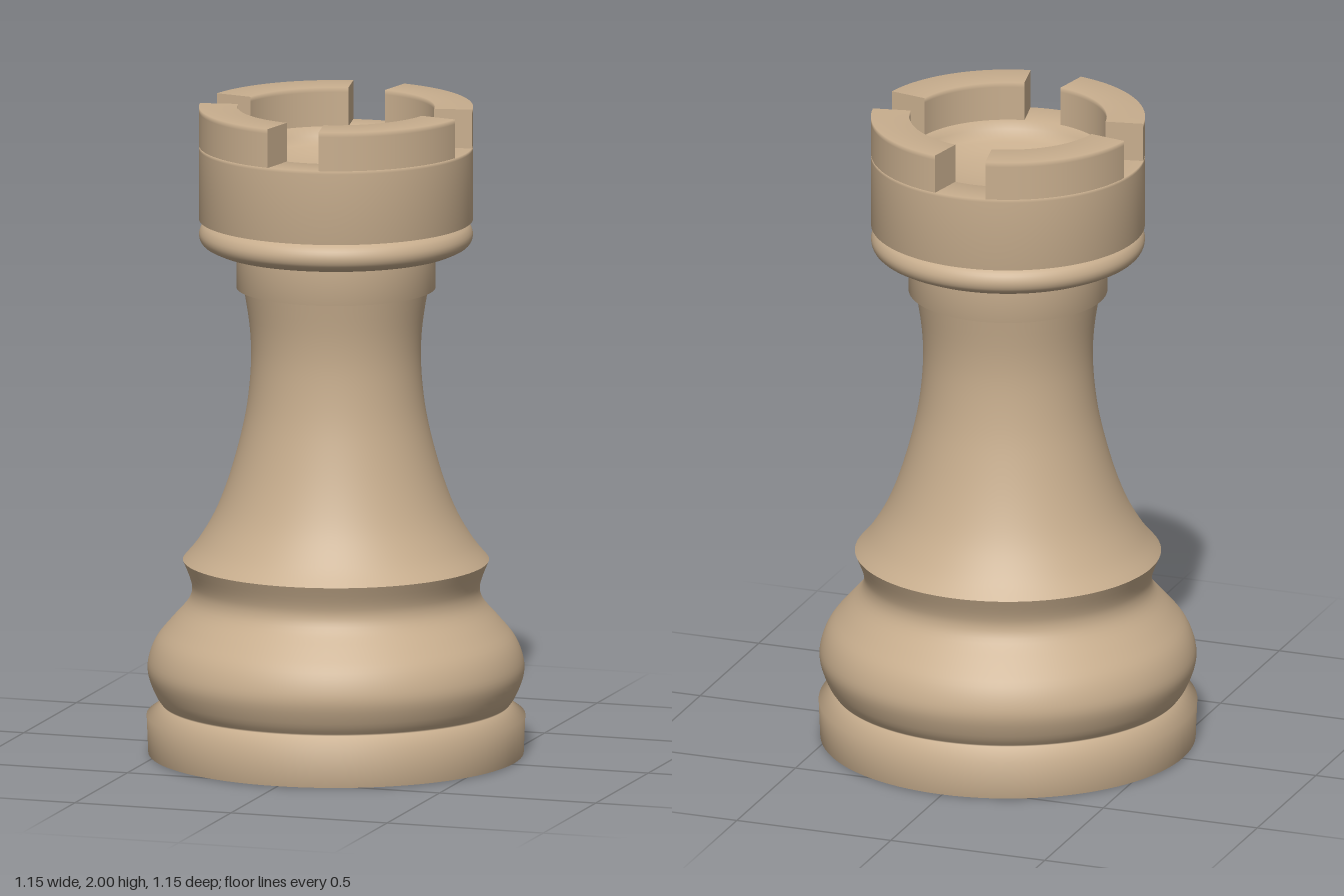
import * as THREE from 'three';

const SEGMENTS = 96;
const material = new THREE.MeshStandardMaterial({ color: 0xc8ae8e, side: THREE.DoubleSide });

const points = (pairs) => pairs.map(([r, y]) => new THREE.Vector2(r, y));

// Smooth run of profile points through a few guides
const curve = (pairs, n) => new THREE.SplineCurve(points(pairs)).getPoints(n);

function addLathe(parent, name, profile, start = 0, length = Math.PI * 2, segments = SEGMENTS) {
  const mesh = new THREE.Mesh(new THREE.LatheGeometry(profile, segments, start, length), material);
  mesh.name = name;
  parent.add(mesh);
}

export function createModel() {
  const model = new THREE.Group();
  model.name = 'chessRook';

  // Foot disc and rounded base
  addLathe(model, 'base', [
    ...points([[0, 0], [0.55, 0], [0.57, 0.003], [0.575, 0.12]]),
    ...curve([[0.527, 0.155], [0.55, 0.19], [0.571, 0.25], [0.568, 0.3], [0.545, 0.355],
      [0.5, 0.41], [0.452, 0.465], [0.437, 0.505], [0.443, 0.545], [0.465, 0.6]], 32),
  ]);

  // Concave stem
  addLathe(model, 'stem', curve([[0.465, 0.6], [0.42, 0.655], [0.37, 0.74], [0.33, 0.84],
    [0.295, 0.96], [0.27, 1.08], [0.258, 1.21], [0.262, 1.32], [0.28, 1.44]], 32));

  // Collar under the head
  addLathe(model, 'collar', points([[0.28, 1.44], [0.302, 1.441], [0.302, 1.55]]));

  // Rounded ring
  addLathe(model, 'ring', [
    ...points([[0.302, 1.55]]),
    ...curve([[0.37, 1.56], [0.405, 1.578], [0.416, 1.605], [0.407, 1.632], [0.385, 1.65]], 14),
  ]);

  // Head wall, notch floor and dished interior
  const inner = 0.3, outer = 0.416, notchY = 1.88, topY = 2;
  addLathe(model, 'head', [
    ...points([[0.385, 1.65], [outer, 1.652], [outer, 1.87], [outer, notchY],
      [inner, notchY], [inner, 1.85]]),
    ...curve([[0.27, 1.83], [0.2, 1.805], [0.1, 1.788], [0, 1.782]], 10),
  ]);

  // Four battlements separated by radial notches
  const halfNotch = THREE.MathUtils.degToRad(11.3);
  const sweep = Math.PI / 2 - 2 * halfNotch;
  const profile = points([[outer, notchY], [outer, 1.985], [outer, topY],
    [inner, topY], [inner, 1.985], [inner, notchY]]);
  for (let i = 0; i < 4; i++) {
    const battlement = new THREE.Group();
    battlement.name = `battlement${i + 1}`;
    const start = i * Math.PI / 2 + halfNotch;
    addLathe(battlement, 'battlementWall', profile, start, sweep, 24);
    // Flat end faces
    for (const [angle, turn] of [[start, Math.PI], [start + sweep, 0]]) {
      const end = new THREE.Mesh(new THREE.PlaneGeometry(outer - inner, topY - notchY), material);
      const mid = (inner + outer) / 2;
      end.position.set(mid * Math.sin(angle), (topY + notchY) / 2, mid * Math.cos(angle));
      end.rotation.y = angle + Math.PI / 2 + turn;
      end.name = 'battlementEnd';
      battlement.add(end);
    }
    model.add(battlement);
  }
  return model;
}
